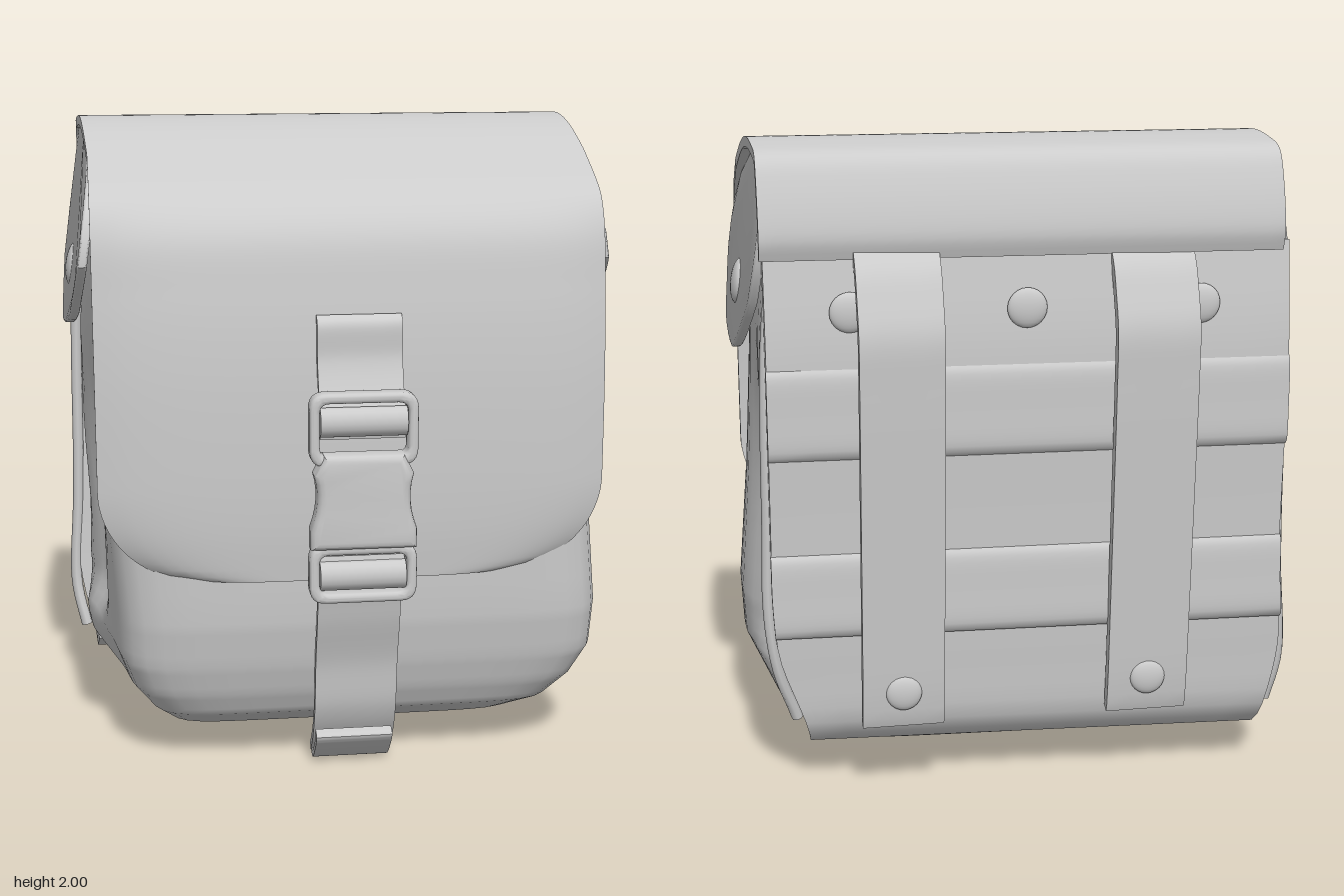
import * as THREE from 'three';
import { toCreasedNormals } from 'three/addons/utils/BufferGeometryUtils.js';

const CX = 0.03; // centre line of buckle and belt
const mat = new THREE.MeshStandardMaterial({ color: 0xcccccc, side: THREE.DoubleSide });
const { lerp, smoothstep, clamp } = THREE.MathUtils;

function add(group, name, geo, x = 0, y = 0, z = 0) {
  const m = new THREE.Mesh(geo, mat);
  m.name = name;
  m.position.set(x, y, z);
  group.add(m);
  return m;
}

// Worn cloth: the back half is shifted and turned a little, more so near the bottom
function skew(geo) {
  const p = geo.attributes.position;
  for (let i = 0; i < p.count; i++) {
    const x = p.getX(i), z = p.getZ(i);
    const back = clamp((0.1 - z) / 0.5, 0, 1), low = 1 - smoothstep(p.getY(i), 0.15, 0.7);
    p.setX(i, x - (0.03 + 0.035 * low) * back);
    p.setZ(i, z + (0.03 + 0.035 * low) * x * back);
  }
  return geo;
}

// Skin over a list of closed rings of Vector3, with end caps
function loft(rings) {
  const n = rings[0].length, pos = [], idx = [];
  rings.forEach(r => r.forEach(p => pos.push(p.x, p.y, p.z)));
  for (let i = 0; i < rings.length - 1; i++) for (let j = 0; j < n; j++) {
    const a = i * n + j, c = i * n + (j + 1) % n;
    idx.push(a, a + n, c, c, a + n, c + n);
  }
  [0, rings.length - 1].forEach((i, end) => {
    const mid = rings[i].reduce((s, p) => s.add(p), new THREE.Vector3()).divideScalar(n);
    const k = pos.length / 3;
    pos.push(mid.x, mid.y, mid.z);
    for (let j = 0; j < n; j++) {
      const a = i * n + j, b = i * n + (j + 1) % n;
      end ? idx.push(k, b, a) : idx.push(k, a, b);
    }
  });
  const g = new THREE.BufferGeometry();
  g.setAttribute('position', new THREE.Float32BufferAttribute(pos, 3));
  g.setIndex(idx);
  g.computeVertexNormals();
  return g;
}

// Thick sheet following a [z, y] path; width and edge bow may vary along it
function ribbon(path, width, thick, { x = 0, steps = 30, cols = 4, bow = () => 0 } = {}) {
  const curve = new THREE.CatmullRomCurve3(path.map(([z, y]) => new THREE.Vector3(0, y, z)), false, 'centripetal');
  const rings = [];
  for (let i = 0; i <= steps; i++) {
    const p = curve.getPointAt(i / steps), t = curve.getTangentAt(i / steps);
    const w = typeof width === 'function' ? width(p) : width;
    const at = (u, depth) => {
      const d = depth + bow(p) * Math.abs(u) ** 6;
      return new THREE.Vector3(x + u * w, p.y - t.z * d, p.z + t.y * d);
    };
    const us = Array.from({ length: cols + 1 }, (_, j) => -1 + 2 * j / cols);
    rings.push([...us.map(u => at(u, 0)), ...us.reverse().map(u => at(u, thick))]);
  }
  return toCreasedNormals(loft(rings), 0.7);
}

// Soft body from rounded sections: [y, front half width, back half width, front z, back z, front x shift]
function bodyGeometry() {
  const levels = [
    [0.07, 0.40, 0.42, 0.02, -0.12, 0], [0.085, 0.47, 0.50, 0.15, -0.25, 0], [0.11, 0.55, 0.60, 0.25, -0.33, 0.02],
    [0.17, 0.63, 0.70, 0.34, -0.40, 0.05], [0.25, 0.70, 0.76, 0.38, -0.43, 0.06], [0.35, 0.745, 0.79, 0.41, -0.44, 0.07],
    [0.5, 0.75, 0.805, 0.435, -0.45, 0.07], [0.9, 0.75, 0.80, 0.445, -0.45, 0.03], [1.3, 0.745, 0.79, 0.44, -0.45, 0.01],
    [1.55, 0.74, 0.77, 0.41, -0.45, 0.01], [1.68, 0.74, 0.75, 0.36, -0.46, 0.01], [1.8, 0.74, 0.74, 0.23, -0.46, 0.01],
    [1.9, 0.74, 0.74, 0.03, -0.435, 0.01], [1.955, 0.73, 0.73, -0.12, -0.37, 0.01]];
  const S = 16, square = [];
  for (const [ax, az, dx, dz] of [[1, -1, 0, 1], [1, 1, -1, 0], [-1, 1, 0, -1], [-1, -1, 1, 0]])
    for (let k = 0; k < S; k++) square.push([ax + dx * 2 * k / S, az + dz * 2 * k / S]);
  const rings = [];
  for (let i = 0; i < levels.length - 1; i++) for (let s = 0; s < (i === levels.length - 2 ? 5 : 4); s++) {
    const [y, wf, wb, zf, zb, shift] = levels[i].map((v, k) => lerp(v, levels[i + 1][k], s / 4));
    const sag = smoothstep(y, 0.28, 0.48) * (1 - smoothstep(y, 0.7, 1.5));
    rings.push(square.map(([a, b]) => {
      const r = (Math.abs(a) ** 8 + Math.abs(b) ** 8) ** (-1 / 8);
      const u = a * r, v = (b * r + 1) / 2, z = lerp(zb, zf, v);
      // side panels sag inwards along a slanting crease
      const dent = 0.09 * sag * Math.exp(-(((z + 0.27 - 0.15 * y) / 0.15) ** 2));
      return new THREE.Vector3(u * (lerp(wb, wf, v) - dent) + lerp(0.01, shift, v), y, z);
    }));
  }
  return loft(rings);
}

function roundedRect(path, w, h, r) {
  const x = w / 2, y = h / 2;
  path.moveTo(-x + r, -y).lineTo(x - r, -y).quadraticCurveTo(x, -y, x, -y + r).lineTo(x, y - r)
    .quadraticCurveTo(x, y, x - r, y).lineTo(-x + r, y).quadraticCurveTo(-x, y, -x, y - r)
    .lineTo(-x, -y + r).quadraticCurveTo(-x, -y, -x + r, -y);
  return path;
}

function extrude(shape, depth, bevel) {
  const g = new THREE.ExtrudeGeometry(shape, {
    depth: depth - 2 * bevel, bevelThickness: bevel, bevelSize: bevel, bevelOffset: -bevel, bevelSegments: 3, curveSegments: 6 });
  g.translate(0, 0, bevel - depth / 2);
  return toCreasedNormals(g, 0.7);
}

function button(group, name, x, y, z, r, sideways) {
  const m = add(group, name, new THREE.SphereGeometry(r, 24, 12), x, y, z);
  m.scale.set(sideways ? 0.35 : 1, 1, sideways ? 1 : 0.35);
  return m;
}

export function createModel() {
  const bag = new THREE.Group();
  bag.name = 'bag';
  add(bag, 'body', skew(bodyGeometry()));

  // Lid: from the back, over the top, down the front, with round lower corners
  const lid = [[-0.495, 1.67], [-0.51, 1.73], [-0.475, 1.88], [-0.43, 1.96], [-0.33, 1.99], [-0.2, 2], [-0.07, 1.975],
    [0.13, 1.89], [0.32, 1.785], [0.4, 1.69], [0.44, 1.52], [0.465, 1.3], [0.475, 1], [0.472, 0.8], [0.46, 0.64]];
  const lidWidth = p => {
    if (p.z < 0.3 || p.y > 0.92) return 0.775;
    const d = Math.min(1, (0.92 - p.y) / 0.28);
    return 0.775 - 0.015 * d - 0.27 * (1 - Math.sqrt(1 - d * d));
  };
  add(bag, 'lid', skew(ribbon(lid, lidWidth, 0.03, {
    x: 0.02, steps: 110, cols: 32, bow: p => 0.045 * smoothstep(p.z, 0.3, 0.46) })));

  // Side ears under the lid, leaning outwards, each with a snap
  const ear = new THREE.Shape();
  ear.moveTo(0.36, 1.6).quadraticCurveTo(0.31, 1.54, 0.2, 1.48).quadraticCurveTo(0.06, 1.36, -0.14, 1.355)
    .quadraticCurveTo(-0.22, 1.37, -0.4, 1.53).lineTo(-0.455, 1.68).lineTo(-0.455, 1.86).lineTo(-0.4, 1.955)
    .lineTo(-0.2, 1.975).lineTo(-0.07, 1.945).lineTo(0.12, 1.865).lineTo(0.3, 1.765).lineTo(0.36, 1.68);
  for (const s of [1, -1]) {
    const side = s > 0 ? 'left' : 'right';
    const g = extrude(ear, 0.03, 0.008).rotateY(-Math.PI / 2);
    const p = g.attributes.position;
    for (let i = 0; i < p.count; i++) p.setX(i, p.getX(i) + s * (0.74 + (1.95 - p.getY(i)) * 0.145));
    add(bag, side + 'SideEar', skew(g), 0.01);
    button(bag, side + 'SideSnap', s * 0.806, 1.55, -0.07, 0.07, true).rotation.z = s * 0.145;

    // Piping on the back side seams
    const seam = [[0.75, 1.66, -0.44], [0.775, 1.4, -0.45], [0.785, 0.9, -0.445], [0.785, 0.4, -0.43], [0.74, 0.22, -0.4]];
    add(bag, side + 'BackPiping', skew(new THREE.TubeGeometry(new THREE.CatmullRomCurve3(
      seam.map(([x, y, z]) => new THREE.Vector3(s * x + 0.005, y, z))), 40, 0.018, 8)));
  }

  // Back panel, tucked under at the bottom, with flat webbing rows and snaps
  const panelWidth = p => 0.78 - 0.08 * (1 - smoothstep(p.y, 0.1, 0.5));
  add(bag, 'backPanel', skew(ribbon([[-0.4, 0.14], [-0.455, 0.2], [-0.48, 0.4], [-0.505, 0.9], [-0.52, 1.4], [-0.485, 1.7]],
    panelWidth, 0.06, { x: 0.005, cols: 12 })));
  for (const [lo, hi, z] of [[1.08, 1.36, -0.515], [0.52, 0.79, -0.496]])
    add(bag, 'webbingRow', skew(ribbon([[z, lo], [z - 0.013, lo + 0.015], [z - 0.018, (lo + hi) / 2], [z - 0.013, hi - 0.015], [z, hi]],
      0.782, 0.02, { x: 0.005, cols: 12, steps: 16 })));
  for (const x of [-0.52, 0, 0.52]) button(bag, 'backSnap', x - 0.01, 1.52, -0.515 + 0.03 * x, 0.06);

  // Two hanging straps with snaps at the lower ends
  for (const s of [1, -1]) {
    const x = s * 0.38 - 0.01, name = s > 0 ? 'left' : 'right';
    add(bag, name + 'BackStrap', ribbon([[-0.49, 0.25], [-0.515, 0.235], [-0.53, 0.3], [-0.553, 0.6], [-0.575, 0.95], [-0.595, 1.3],
      [-0.597, 1.46], [-0.565, 1.56], [-0.53, 1.64], [-0.48, 1.7]], 0.125, 0.035, { x, steps: 50 }));
    button(bag, name + 'StrapSnap', x, 0.35, -0.535, 0.055);
  }

  // Belt: upper anchor, hanging tail and folded tip
  add(bag, 'upperBelt', ribbon([[0.455, 1.46], [0.48, 1.44], [0.485, 1.33], [0.515, 1.24], [0.55, 1.17], [0.54, 1.1]], 0.128, 0.02, { x: CX }));
  add(bag, 'lowerBelt', ribbon([[0.54, 0.74], [0.55, 0.68], [0.51, 0.63], [0.475, 0.5], [0.435, 0.36], [0.41, 0.2], [0.365, 0.1], [0.3, 0.02]],
    0.128, 0.025, { x: CX, steps: 40 }));
  add(bag, 'beltTip', ribbon([[0.4, 0.13], [0.43, 0.115], [0.39, 0.06], [0.32, 0.004], [0.295, 0.01]], 0.12, 0.02, { x: CX - 0.005 }));

  // Buckle: two frames with bars, joined by a waisted clip
  const buckle = new THREE.Group();
  buckle.name = 'buckle';
  buckle.position.set(CX, 0, 0.55);
  bag.add(buckle);
  for (const [name, y, h, z] of [['upper', 1.135, 0.22, 0], ['lower', 0.69, 0.18, -0.005]]) {
    const frame = roundedRect(new THREE.Shape(), 0.325, h, 0.05);
    frame.holes.push(roundedRect(new THREE.Path(), 0.265, h - 0.06, 0.03));
    add(buckle, name + 'Frame', extrude(frame, 0.065, 0.012), 0, y, z);
    const bar = add(buckle, name + 'Bar', new THREE.CylinderGeometry(0.045, 0.045, 0.26, 16), 0, y + (h > 0.2 ? 0.02 : -0.01), z);
    bar.rotation.z = Math.PI / 2;
    bar.scale.z = 0.8;
  }
  const clip = new THREE.Shape();
  clip.moveTo(-0.16, 0.77).lineTo(0.16, 0.77).lineTo(0.16, 0.83).quadraticCurveTo(0.125, 0.92, 0.15, 1.0)
    .lineTo(0.12, 1.06).lineTo(-0.12, 1.06).lineTo(-0.15, 1.0).quadraticCurveTo(-0.125, 0.92, -0.16, 0.83);
  add(buckle, 'clip', extrude(clip, 0.095, 0.025));
  return bag;
}
